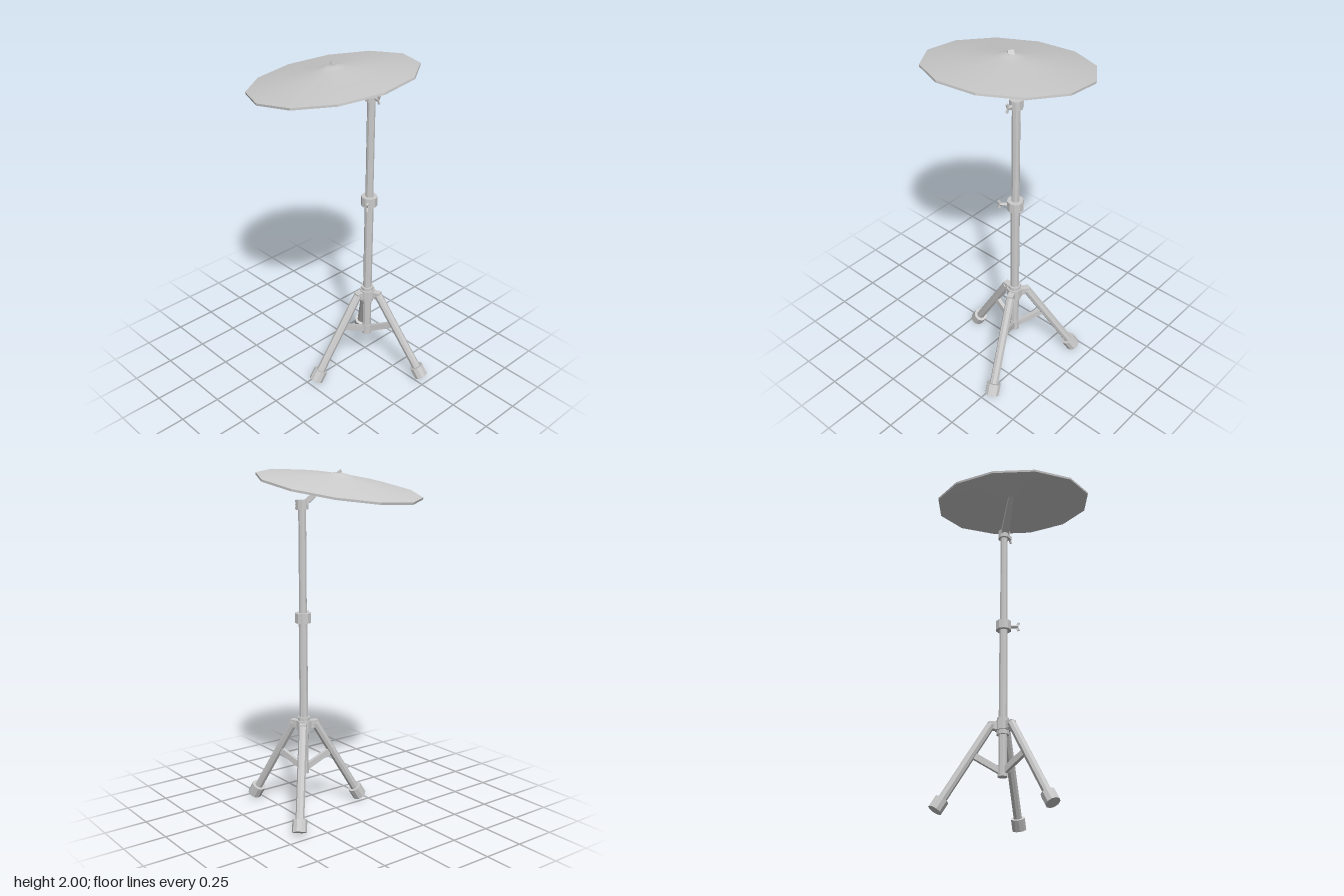
import * as THREE from 'three';

const V = (x, y, z) => new THREE.Vector3(x, y, z);
const UP = V(0, 1, 0);
const flat = new THREE.MeshStandardMaterial({ color: 0xcccccc, flatShading: true });
const smooth = new THREE.MeshStandardMaterial({ color: 0xcccccc, side: THREE.DoubleSide });
const POLE_X = 0.16, POLE_Z = 0.1;

function add(parent, name, geometry, material = flat) {
  const mesh = new THREE.Mesh(geometry, material);
  mesh.name = name;
  parent.add(mesh);
  return mesh;
}

// Cylinder running from point a to point b
function rod(parent, name, a, b, ra, rb = ra, sides = 8) {
  const dir = b.clone().sub(a);
  const mesh = add(parent, name, new THREE.CylinderGeometry(rb, ra, dir.length(), sides));
  mesh.position.copy(a).add(b).multiplyScalar(0.5);
  mesh.quaternion.setFromUnitVectors(UP, dir.normalize());
  return mesh;
}

const upright = (parent, name, y0, y1, r, sides = 10) =>
  rod(parent, name, V(0, y0, 0), V(0, y1, 0), r, r, sides);

// Wing screw pointing along local +x
function wingScrew(parent, name, y, angle, reach) {
  const g = new THREE.Group();
  g.name = name;
  g.position.y = y;
  g.rotation.y = -angle;
  rod(g, 'screwShaft', V(0.03, 0, 0), V(reach, 0, 0), 0.01, 0.01, 6);
  for (const s of [-1, 1]) {
    const wing = add(g, 'screwWing', new THREE.BoxGeometry(0.014, 0.03, 0.008));
    wing.position.set(reach, s * 0.012, 0);
    wing.rotation.z = -s * 0.45;
  }
  parent.add(g);
}

export function createModel() {
  const model = new THREE.Group();
  model.name = 'cymbalStand';
  const stand = new THREE.Group();
  stand.name = 'stand';
  stand.position.set(POLE_X, 0, POLE_Z);
  model.add(stand);

  // Telescoping pole with its collars
  upright(stand, 'lowerPole', 0.25, 1.16, 0.026);
  upright(stand, 'upperPole', 1.16, 1.8, 0.023);
  upright(stand, 'poleEndCap', 0.235, 0.3, 0.03);
  upright(stand, 'hubSleeve', 0.48, 0.58, 0.037);
  upright(stand, 'hubRing', 0.505, 0.56, 0.046);
  upright(stand, 'heightCollar', 1.14, 1.197, 0.047);
  upright(stand, 'topClamp', 1.78, 1.832, 0.037);
  wingScrew(stand, 'heightScrew', 1.167, THREE.MathUtils.degToRad(142), 0.085);
  wingScrew(stand, 'tiltScrew', 1.802, THREE.MathUtils.degToRad(95), 0.06);

  // Three legs; local +x points outwards
  for (let i = 0; i < 3; i++) {
    const leg = new THREE.Group();
    leg.name = 'leg' + (i + 1);
    leg.rotation.y = -THREE.MathUtils.degToRad(69.5 + i * 120);
    stand.add(leg);
    const top = V(0.07, 0.535, 0), tip = V(0.375, 0.022, 0);
    const dir = tip.clone().sub(top).normalize();
    rod(leg, 'legTube', top, tip.clone().addScaledVector(dir, -0.02), 0.025);
    rod(leg, 'rubberFoot', tip.clone().addScaledVector(dir, -0.07), tip, 0.042, 0.042, 10);
    add(leg, 'legHinge', new THREE.BoxGeometry(0.055, 0.045, 0.036)).position.set(0.058, 0.53, 0);
    // Flat brace to the foot of the pole
    const brace = add(leg, 'legBrace', new THREE.BoxGeometry(0.18, 0.036, 0.022));
    brace.position.set(0.1, 0.31, 0);
    brace.rotation.z = 0.46;
  }

  // Flat tapering arm that carries the cymbal
  const a = V(POLE_X, 1.8, POLE_Z), b = V(-0.003, 1.992, -0.043);
  const y = b.clone().sub(a), length = y.length();
  y.normalize();
  const x = V().crossVectors(y, UP).normalize();
  const z = V().crossVectors(x, y);
  const armGeo = new THREE.BoxGeometry(0.05, length, 0.034);
  const p = armGeo.attributes.position;
  for (let i = 0; i < p.count; i++) {
    if (p.getY(i) > 0) p.setXYZ(i, p.getX(i) * 0.62, p.getY(i), p.getZ(i) * 0.5);
  }
  const arm = add(model, 'tiltArm', armGeo);
  arm.position.copy(a).add(b).multiplyScalar(0.5);
  arm.quaternion.setFromRotationMatrix(new THREE.Matrix4().makeBasis(x, y, z));

  // Tilted twelve-sided cymbal with a low bell
  const cymbal = new THREE.Group();
  cymbal.name = 'cymbal';
  cymbal.position.set(0, 1.908, -0.03);
  cymbal.quaternion.setFromUnitVectors(UP, V(-0.057, 1, -0.165).normalize());
  model.add(cymbal);
  const pts = (list) => list.map(([r, h]) => new THREE.Vector2(r, h));
  const R = 0.467, spin = THREE.MathUtils.degToRad(-9.3);
  const shells = {
    cymbalTop: [[R, 0.006], [0.3, 0.031], [0.09, 0.054], [0.05, 0.066], [0.02, 0.071], [0, 0.071]],
    cymbalRim: [[R, -0.006], [R, 0.006]],
    cymbalUnderside: [[0, 0.059], [0.05, 0.054], [0.09, 0.042], [0.3, 0.019], [R, -0.006]],
  };
  for (const [name, list] of Object.entries(shells)) {
    const mat = name === 'cymbalRim' ? flat : smooth;
    add(cymbal, name, new THREE.LatheGeometry(pts(list), 12), mat).rotation.y = spin;
  }
  return model;
}
